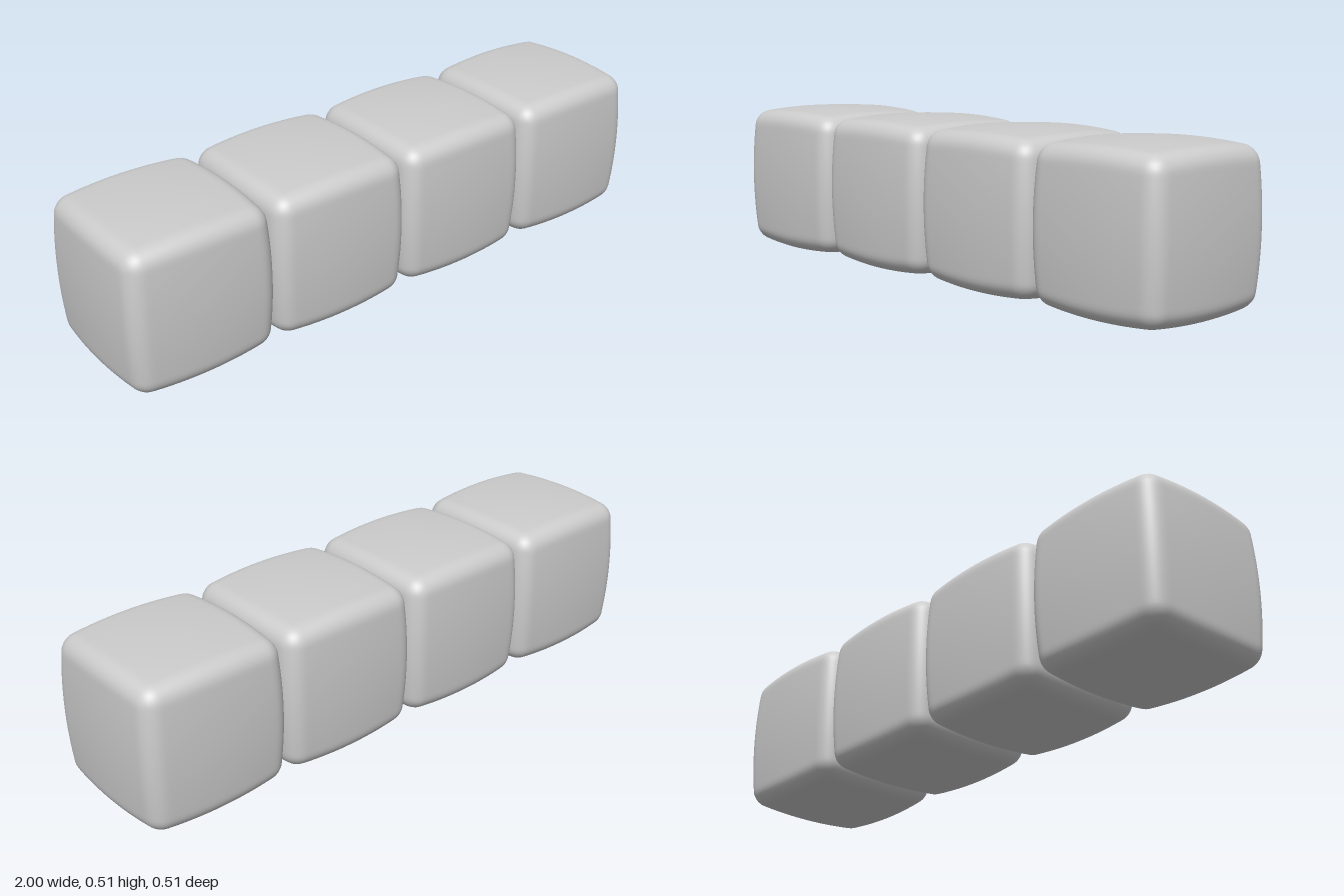
import * as THREE from 'three';
import { mergeVertices } from 'three/addons/utils/BufferGeometryUtils.js';

const HALF = 0.23;     // half size before the faces are puffed out
const RADIUS = 0.045;  // edge rounding
const PUFF = 0.0555;   // swelling of each face, per direction
const OUTER = HALF * (1 + 2 * PUFF);

// Cube with rounded edges and gently swollen faces
function puffyCube() {
  const box = new THREE.BoxGeometry(2 * HALF, 2 * HALF, 2 * HALF, 40, 40, 40);
  box.deleteAttribute('normal');
  box.deleteAttribute('uv');
  const geometry = mergeVertices(box, 1e-5);
  const pos = geometry.attributes.position;
  const p = new THREE.Vector3();
  const core = new THREE.Vector3();
  const limit = HALF - RADIUS;
  const swell = (a, b) => 1 + PUFF * (2 - (a * a + b * b) / (HALF * HALF));
  for (let i = 0; i < pos.count; i++) {
    p.fromBufferAttribute(pos, i);
    core.copy(p).clampScalar(-limit, limit);
    p.sub(core).setLength(RADIUS).add(core);
    pos.setXYZ(i, p.x * swell(p.y, p.z), p.y * swell(p.x, p.z), p.z * swell(p.x, p.y));
  }
  geometry.computeVertexNormals();
  return geometry;
}

export function createModel() {
  const model = new THREE.Group();
  model.name = 'cubeRow';
  const geometry = puffyCube();
  const material = new THREE.MeshStandardMaterial({ color: 0xcccccc });

  // Four cubes side by side, just touching
  const step = (2 - 2 * OUTER) / 3;
  for (let i = 0; i < 4; i++) {
    const cube = new THREE.Mesh(geometry, material);
    cube.name = `cube${i + 1}`;
    cube.position.set((i - 1.5) * step, OUTER, 0);
    model.add(cube);
  }
  return model;
}
